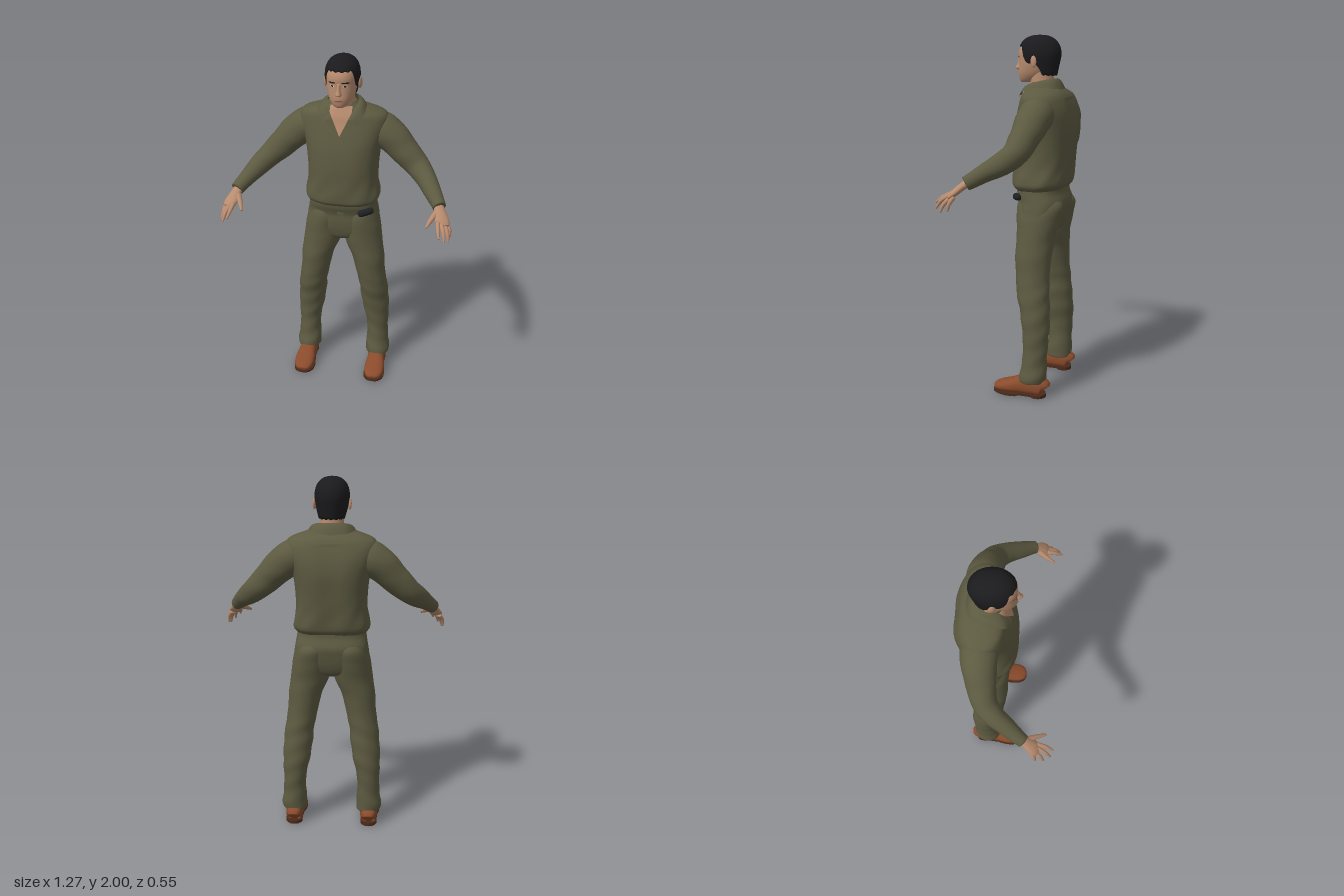
import * as THREE from 'three';

const V = (x, y, z) => new THREE.Vector3(x, y, z);
const mat = (name, color, side = THREE.FrontSide) => {
  const m = new THREE.MeshStandardMaterial({ color, side });
  m.name = name;
  return m;
};

// Smooth interpolation through cross-sections [x, y, z, rx, rz, exponent]
function sample(secs, t) {
  const last = secs.length - 1;
  const i = Math.min(Math.floor(t), last - 1), f = t - i;
  const p = (k) => secs[Math.max(0, Math.min(last, k))];
  return secs[0].map((_, c) => {
    const [a, b, d, e] = [p(i - 1)[c], p(i)[c], p(i + 1)[c], p(i + 2)[c]];
    return b + 0.5 * f * (d - a + f * (2 * a - 5 * b + 4 * d - e + f * (3 * (b - d) + e - a)));
  });
}

// Closed smooth surface through rings of points, capped at both ends
function skinRings(rings) {
  const n = rings[0].length, pos = [], idx = [];
  rings.forEach((r) => r.forEach((p) => pos.push(p.x, p.y, p.z)));
  for (let i = 0; i < rings.length - 1; i++) {
    for (let j = 0; j < n; j++) {
      const a = i * n + j, b = a + n, c = i * n + ((j + 1) % n), d = c + n;
      idx.push(a, b, c, b, d, c);
    }
  }
  [0, rings.length - 1].forEach((i) => {
    const m = rings[i].reduce((s, p) => s.add(p), V(0, 0, 0)).divideScalar(n);
    const k = pos.length / 3;
    pos.push(m.x, m.y, m.z);
    for (let j = 0; j < n; j++) {
      const a = i * n + j, b = i * n + ((j + 1) % n);
      i ? idx.push(k, b, a) : idx.push(k, a, b);
    }
  });
  const g = new THREE.BufferGeometry();
  g.setAttribute('position', new THREE.Float32BufferAttribute(pos, 3));
  g.setIndex(idx);
  g.computeVertexNormals();
  return g;
}

// Loft with level rings, or rings square to the path when along is true
function loft(secs, { along = false, sub = 5, seg = 32, bump = () => 1 } = {}) {
  const rings = [], count = (secs.length - 1) * sub, last = secs.length - 1;
  for (let i = 0; i <= count; i++) {
    const t = i / sub, [x, y, z, rx, rz, e = 2] = sample(secs, t);
    let u = V(1, 0, 0), v = V(0, 0, 1);
    if (along) {
      const a = sample(secs, Math.max(0, t - 0.1)), b = sample(secs, Math.min(last, t + 0.1));
      const dir = V(b[0] - a[0], b[1] - a[1], b[2] - a[2]).normalize();
      u = V(0, 0, 0).crossVectors(dir, V(0, 1, 0)).normalize();
      v = V(0, 0, 0).crossVectors(u, dir);
    }
    rings.push(Array.from({ length: seg }, (_, j) => {
      const a = (j / seg) * Math.PI * 2, k = bump(a, y);
      const c = Math.cos(a), s = Math.sin(a), pw = (w) => Math.sign(w) * Math.abs(w) ** (2 / e);
      return V(x, y, z).addScaledVector(u, rx * pw(c) * k).addScaledVector(v, rz * pw(s) * k);
    }));
  }
  return skinRings(rings);
}

// Depth of the front surface of a level loft at a given x and y
function frontZ(secs, x, y) {
  let lo = 0, hi = secs.length - 1;
  for (let i = 0; i < 30; i++) {
    const m = (lo + hi) / 2;
    if (sample(secs, m)[1] < y) lo = m; else hi = m;
  }
  const [, , z, rx, rz, e = 2] = sample(secs, lo);
  return z + rz * Math.max(0, 1 - Math.abs(x / rx) ** e) ** (1 / e);
}

export function createModel() {
  const root = new THREE.Group();
  const cloth = mat('olive cloth', 0x5d5a41, THREE.DoubleSide);
  const skin = mat('skin', 0xb78b6e), hair = mat('black hair', 0x1b1b1d);
  const leather = mat('brown leather', 0x8a4b2c), sole = mat('dark sole', 0x4a2a1b);
  const black = mat('black gear', 0x202124), lip = mat('lip', 0x94604f);
  const white = mat('eye white', 0xc9c0b6), metal = mat('buckle', 0x5a574e);
  const add = (name, g, m) => {
    const mesh = new THREE.Mesh(g, m);
    mesh.name = name;
    root.add(mesh);
    return mesh;
  };

  // Shirt, with a shallow groove down the back and soft folds
  const torso = [
    [0, 1.16, -0.09, 0.185, 0.122, 2.5], [0, 1.18, -0.09, 0.204, 0.144, 2.5],
    [0, 1.21, -0.095, 0.211, 0.155, 2.5], [0, 1.3, -0.1, 0.196, 0.16, 2.5],
    [0, 1.4, -0.105, 0.198, 0.165, 2.5], [0, 1.5, -0.115, 0.21, 0.164, 2.5],
    [0, 1.58, -0.122, 0.232, 0.15, 2.5], [0, 1.64, -0.122, 0.245, 0.132, 2.4],
    [0, 1.68, -0.117, 0.23, 0.117, 2.3], [0, 1.705, -0.11, 0.175, 0.1, 2.2],
    [0, 1.73, -0.098, 0.1, 0.078, 2], [0, 1.75, -0.092, 0.07, 0.062, 2],
  ];
  add('shirt', loft(torso, {
    seg: 64,
    bump: (a, y) => {
      const back = Math.max(0, -Math.sin(a)), mid = Math.exp(-((Math.cos(a) / 0.22) ** 2));
      const low = Math.max(0, 1 - Math.abs(y - 1.25) / 0.13);
      return 1 - 0.05 * back * mid * (y < 1.66 ? 1 : 0.3) + 0.012 * low * Math.sin(9 * a + 30 * y);
    },
  }), cloth);

  // Open neck: a tapering patch lying on the chest
  const chest = new THREE.PlaneGeometry(2, 1, 8, 14), cp = chest.attributes.position;
  for (let i = 0; i < cp.count; i++) {
    const v = cp.getY(i) + 0.5, y = 1.58 + 0.155 * v;
    const x = cp.getX(i) * Math.min(0.06, 0.075 * v);
    cp.setXYZ(i, x, y, frontZ(torso, x, y) + 0.004);
  }
  chest.computeVertexNormals();
  add('openNeck', chest, skin);

  // Collar: strip between its upper and lower edge, folded down to two points
  const edge = (pts) => new THREE.CatmullRomCurve3(
    [...pts.slice(1).reverse().map(([x, y, z]) => V(-x, y, z)), ...pts.map((p) => V(...p))]);
  const upper = edge([[0, 1.768, -0.168], [0.06, 1.765, -0.145], [0.085, 1.752, -0.085],
    [0.075, 1.73, -0.025], [0.045, 1.675, 0.022]]);
  const lower = edge([[0, 1.71, -0.205], [0.09, 1.715, -0.18], [0.13, 1.715, -0.095],
    [0.122, 1.695, -0.01], [0.09, 1.648, 0.024]]);
  const strip = new THREE.PlaneGeometry(1, 1, 40, 4), sp = strip.attributes.position;
  for (let i = 0; i < sp.count; i++) {
    const u = sp.getX(i) + 0.5, v = sp.getY(i) + 0.5;
    const p = lower.getPoint(u).lerp(upper.getPoint(u), v);
    const puff = 0.012 * Math.sin(Math.PI * v);
    sp.setXYZ(i, p.x * (1 + puff), p.y + puff, p.z);
  }
  strip.computeVertexNormals();
  add('collar', strip, cloth);

  // Trousers: seat
  add('trouserSeat', loft([
    [0, 0.915, -0.1, 0.06, 0.06, 2], [0, 0.94, -0.103, 0.15, 0.095, 2.2],
    [0, 0.99, -0.106, 0.21, 0.115, 2.4], [0, 1.05, -0.11, 0.208, 0.126, 2.5],
    [0, 1.1, -0.112, 0.2, 0.13, 2.5], [0, 1.15, -0.095, 0.192, 0.13, 2.5],
    [0, 1.19, -0.092, 0.188, 0.13, 2.5],
  ], { seg: 48 }), cloth);

  // Head, neck and nose
  const head = [
    [0, 1.745, 0.005, 0.026, 0.03, 2.2], [0, 1.757, -0.012, 0.045, 0.056, 2.2],
    [0, 1.79, -0.035, 0.066, 0.086, 2.2], [0, 1.83, -0.05, 0.078, 0.099, 2.2],
    [0, 1.868, -0.058, 0.083, 0.105, 2.2], [0, 1.905, -0.062, 0.084, 0.111, 2.2],
    [0, 1.94, -0.068, 0.077, 0.103, 2.2], [0, 1.965, -0.07, 0.058, 0.075, 2.2],
  ];
  add('head', loft(head, { seg: 48 }), skin);
  add('neck', loft([
    [0, 1.6, -0.11, 0.068, 0.065], [0, 1.7, -0.09, 0.066, 0.066],
    [0, 1.76, -0.082, 0.064, 0.066], [0, 1.82, -0.078, 0.062, 0.068],
  ]), skin);
  add('nose', loft([
    [0, 1.813, 0.046, 0.011, 0.012], [0, 1.823, 0.05, 0.017, 0.025],
    [0, 1.845, 0.046, 0.011, 0.018], [0, 1.88, 0.042, 0.009, 0.009],
  ], { seg: 20 }), skin);

  // Hair: cap whose lower edge runs from the forehead past the ears to the nape
  const step = THREE.MathUtils.smoothstep, hairRings = [];
  for (let i = -1; i <= 24; i++) {
    const v = 1 - Math.max(i, 0) / 24.2;
    hairRings.push(Array.from({ length: 64 }, (_, j) => {
      const a = (j / 64) * Math.PI * 2, c = Math.cos(a), s = Math.sin(a);
      const hem = 1.785 + 0.065 * step(s, -0.5, 0) + 0.09 * step(s, 0.42, 0.72) + 0.003 * Math.sin(17 * a);
      const y = 2 - (2 - hem) * v ** 1.8, q = Math.max(0, (y - 1.89) / 0.11);
      let k = y > 1.89 ? (1 - q ** 2.4) ** (1 / 2.4) : 1 - (1.89 - y) * 1.8;
      if (i < 0) k *= 0.85;
      return V(0.094 * k * c, y, -0.069 + 0.121 * k * s);
    }));
  }
  add('hair', skinRings(hairRings), hair);

  // Flat face details that follow the head
  const decal = (name, cx, cy, w, h, m, lift = 0.003, tilt = 0) => {
    const g = new THREE.CircleGeometry(1, 20), p = g.attributes.position;
    for (let i = 0; i < p.count; i++) {
      const x = cx + w * p.getX(i), y = cy + h * p.getY(i) + tilt * p.getX(i);
      p.setXYZ(i, x, y, frontZ(head, x, y) + lift);
    }
    g.computeVertexNormals();
    add(name, g, m);
  };
  decal('mouth', 0, 1.786, 0.025, 0.005, lip);

  for (const s of [1, -1]) {
    const side = s > 0 ? 'left' : 'right';
    const flip = (secs) => secs.map(([x, ...rest]) => [s * x, ...rest]);
    decal(side + 'Eye', s * 0.034, 1.867, 0.013, 0.005, white);
    decal(side + 'Iris', s * 0.034, 1.867, 0.006, 0.005, black, 0.0045);
    decal(side + 'Brow', s * 0.036, 1.884, 0.02, 0.004, hair, 0.003, -s * 0.001);
    const ear = add(side + 'Ear', new THREE.SphereGeometry(1, 16, 12), skin);
    ear.scale.set(0.009, 0.032, 0.019);
    ear.position.set(s * 0.094, 1.858, -0.068);
    ear.rotation.y = s * -0.3;

    // Sleeve
    add(side + 'Sleeve', loft(flip([
      [0.14, 1.6, -0.13, 0.075, 0.075], [0.2, 1.583, -0.13, 0.096, 0.096],
      [0.27, 1.537, -0.125, 0.09, 0.09], [0.34, 1.467, -0.112, 0.078, 0.08],
      [0.41, 1.4, -0.092, 0.067, 0.069], [0.465, 1.352, -0.04, 0.057, 0.06],
      [0.51, 1.31, 0.03, 0.048, 0.049], [0.545, 1.275, 0.085, 0.04, 0.041],
      [0.562, 1.257, 0.115, 0.036, 0.037],
    ]), { along: true, bump: (a, y) => 1 + 0.018 * Math.sin(70 * y + 2 * Math.sin(a)) * Math.sin(a + 1) }), cloth);

    // Hand: palm, four fingers and thumb
    add(side + 'Palm', loft(flip([
      [0.552, 1.266, 0.1, 0.026, 0.022], [0.568, 1.237, 0.138, 0.032, 0.02],
      [0.583, 1.207, 0.173, 0.039, 0.018], [0.592, 1.187, 0.197, 0.033, 0.011],
    ]), { along: true, seg: 20 }), skin);
    const fingers = {
      Index: [[0.562, 1.205, 0.19], [0.569, 1.183, 0.24], [0.578, 1.153, 0.278]],
      Middle: [[0.58, 1.198, 0.19], [0.597, 1.168, 0.237], [0.606, 1.127, 0.265]],
      Ring: [[0.597, 1.19, 0.178], [0.617, 1.155, 0.212], [0.626, 1.112, 0.23]],
      Little: [[0.607, 1.193, 0.16], [0.625, 1.16, 0.178], [0.63, 1.122, 0.186]],
      Thumb: [[0.552, 1.238, 0.135], [0.524, 1.213, 0.19], [0.505, 1.19, 0.235]],
    };
    for (const [name, pts] of Object.entries(fingers)) {
      const r = name === 'Thumb' ? [0.018, 0.013, 0.006] : [0.012, 0.0105, 0.005];
      add(side + name, loft(flip(pts.map((p, i) => [...p, r[i], r[i]])), { along: true, seg: 12 }), skin);
    }

    // Trouser leg with creases at knee and hem
    add(side + 'Leg', loft(flip([
      [0.217, 0.09, -0.115, 0.07, 0.079], [0.218, 0.13, -0.119, 0.073, 0.078],
      [0.215, 0.2, -0.125, 0.065, 0.07], [0.2125, 0.3, -0.13, 0.065, 0.071],
      [0.203, 0.4, -0.128, 0.077, 0.078], [0.193, 0.5, -0.118, 0.083, 0.084],
      [0.183, 0.6, -0.103, 0.083, 0.093], [0.165, 0.7, -0.095, 0.086, 0.096],
      [0.15, 0.8, -0.093, 0.095, 0.103], [0.122, 0.9, -0.098, 0.109, 0.109],
      [0.109, 1.0, -0.107, 0.109, 0.124], [0.1, 1.08, -0.113, 0.096, 0.132],
      [0.095, 1.13, -0.105, 0.08, 0.105],
    ]), { bump: (a, y) => 1 + (y < 0.65 ? 0.022 : 0.005) * Math.sin(55 * y + 2 * s * Math.cos(a) + 1.5 * Math.sin(a)) }), cloth);

    // Shoe upper, sole and heel
    const shoe = loft(flip([
      [0.218, 0.05, -0.19, 0.03, 0.035, 2.5], [0.218, 0.06, -0.175, 0.045, 0.05, 2.5],
      [0.218, 0.063, -0.12, 0.05, 0.053, 2.5], [0.219, 0.059, -0.05, 0.052, 0.05, 2.4],
      [0.221, 0.048, 0.01, 0.059, 0.038, 2.4], [0.221, 0.04, 0.065, 0.057, 0.028, 2.4],
      [0.22, 0.034, 0.1, 0.041, 0.02, 2.4], [0.22, 0.031, 0.112, 0.02, 0.01, 2.4],
    ]), { along: true });
    add(side + 'Shoe', shoe, leather);
    const outline = new THREE.Shape(new THREE.SplineCurve([
      [0, 0.193], [0.044, 0.17], [0.047, 0.1], [0.052, 0.04], [0.062, -0.02], [0.058, -0.075], [0.035, -0.11],
      [0, -0.119], [-0.035, -0.11], [-0.058, -0.075], [-0.062, -0.02], [-0.052, 0.04], [-0.047, 0.1],
      [-0.044, 0.17], [0, 0.193],
    ].map(([x, y]) => new THREE.Vector2(x, y))).getPoints(48));
    const plate = new THREE.ExtrudeGeometry(outline, { depth: 0.012, bevelEnabled: false });
    plate.rotateX(-Math.PI / 2).rotateY(Math.PI);
    plate.scale(1, 1, -1).rotateZ(Math.PI).scale(1, 1, 1);
    plate.computeBoundingBox();
    const pb = plate.boundingBox;
    plate.translate(0, 0.008 - pb.min.y, -0.195 - pb.min.z);
    // Restore outward corner order after the mirror
    for (const at of Object.values(plate.attributes)) {
      for (let i = 0; i < at.count; i += 3) {
        for (let c = 0; c < at.itemSize; c++) {
          const a = at.getComponent(i, c);
          at.setComponent(i, c, at.getComponent(i + 1, c));
          at.setComponent(i + 1, c, a);
        }
      }
    }
    plate.computeVertexNormals();
    const pp = plate.attributes.position;
    // Tread rises at the arch and toe
    for (let i = 0; i < pp.count; i++) {
      const z = pp.getZ(i);
      pp.setY(i, pp.getY(i) + (z > 0.02 ? (z - 0.02) * 0.08 : 0) - (z > -0.04 ? 0.008 : 0));
    }
    add(side + 'Sole', plate, sole).position.x = s * 0.22;
    const heel = add(side + 'Heel', new THREE.CylinderGeometry(0.046, 0.046, 0.016, 28), sole);
    heel.position.set(s * 0.218, 0.008, -0.147);
  }

  // Belt buckle and pouch at the waist
  add('buckle', new THREE.BoxGeometry(0.035, 0.016, 0.012), metal).position.set(0.005, 1.112, 0.02);
  const pouch = add('pouch', new THREE.CapsuleGeometry(0.02, 0.055, 6, 14).rotateZ(Math.PI / 2), black);
  pouch.position.set(0.146, 1.125, 0.006);
  pouch.rotation.set(0, 0.6, 0.1);
  return root;
}
